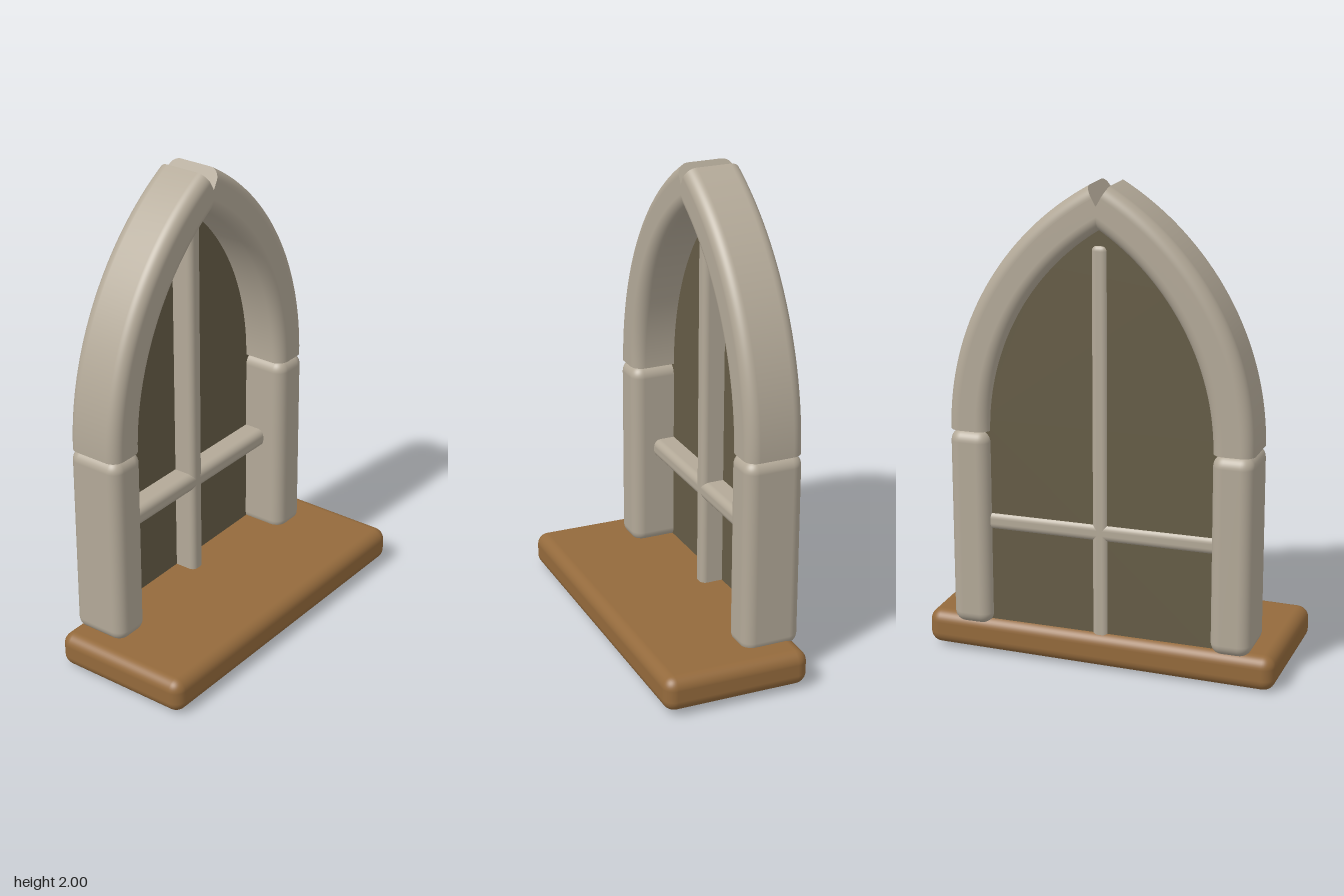
import * as THREE from 'three';
import { mergeGeometries } from 'three/addons/utils/BufferGeometryUtils.js';
import { RoundedBoxGeometry } from 'three/addons/geometries/RoundedBoxGeometry.js';

const stone = new THREE.MeshStandardMaterial({ color: 0xb3a998 });
const wood = new THREE.MeshStandardMaterial({ color: 0x946a3c });
const glass = new THREE.MeshStandardMaterial({ color: 0x655c46 });

const SPRING = 0.975;           // height where the arch starts
const HALF = 0.6375;            // outer half width of the frame
const OUTER = 1.18;             // outer radius of each arch half
const WIDTH = 0.17, DEPTH = 0.245;
const OFFSET = HALF - OUTER;    // arc centre of the right arch half
const SWEEP = Math.acos((0.0425 - OFFSET) / OUTER);

function add(parent, name, geometry, material, x = 0, y = 0, z = 0) {
  const mesh = new THREE.Mesh(geometry, material);
  mesh.name = name;
  mesh.position.set(x, y, z);
  parent.add(mesh);
  return mesh;
}

// Rounded rectangle cross-section, counter-clockwise, centred on (cx, 0)
function sectionShape(cx, w, h, r) {
  const x = w / 2 - r, y = h / 2 - r, q = Math.PI / 2;
  const s = new THREE.Shape();
  s.absarc(cx + x, -y, r, -q, 0);
  s.absarc(cx + x, y, r, 0, q);
  s.absarc(cx - x, y, r, q, 2 * q);
  s.absarc(cx - x, -y, r, 2 * q, 3 * q);
  s.closePath();
  return s;
}

// Right half of the pointed arch: section swept round its arc, with flat ends
function archGeometry() {
  const section = sectionShape(OUTER - WIDTH / 2, WIDTH, DEPTH, 0.05);
  const sweep = new THREE.LatheGeometry(section.getPoints(8), 32, 0, SWEEP);
  sweep.applyMatrix4(new THREE.Matrix4().makeBasis(
    new THREE.Vector3(0, 1, 0), new THREE.Vector3(0, 0, 1), new THREE.Vector3(1, 0, 0)));
  const foot = new THREE.ShapeGeometry(section, 8).rotateX(Math.PI / 2);
  const tip = new THREE.ShapeGeometry(section, 8).rotateX(-Math.PI / 2).rotateZ(SWEEP);
  return mergeGeometries([sweep, foot, tip]).translate(OFFSET, SPRING, 0);
}

// Pointed pane whose edge is buried in the stone
function paneGeometry() {
  const r = 1.05, half = r + OFFSET, a = Math.acos(-OFFSET / r);
  const s = new THREE.Shape();
  s.moveTo(-half, 0.1);
  s.lineTo(half, 0.1);
  s.absarc(OFFSET, SPRING, r, 0, a);
  s.absarc(-OFFSET, SPRING, r, Math.PI - a, Math.PI);
  s.closePath();
  return new THREE.ExtrudeGeometry(s, { depth: 0.02, bevelEnabled: false, curveSegments: 24 });
}

export function createModel() {
  const model = new THREE.Group();
  model.name = 'archedWindow';

  // Wooden sill, slightly crooked
  const sill = add(model, 'sill', new RoundedBoxGeometry(1.495, 0.148, 0.625, 5, 0.05), wood, 0, 0.087, 0);
  sill.rotation.set(-0.008, -0.011, 0.011);

  // Stone frame
  const frame = new THREE.Group();
  frame.name = 'frame';
  frame.position.set(-0.0075, 0, -0.198);
  model.add(frame);
  const arch = archGeometry();
  const post = new RoundedBoxGeometry(WIDTH, 0.84, 0.25, 5, 0.05);
  for (const side of [-1, 1]) {
    const name = side > 0 ? 'left' : 'right';
    add(frame, name + 'Post', post, stone, side * (HALF - WIDTH / 2), 0.555, 0);
    add(frame, name + 'Arch', arch, stone).rotation.y = side > 0 ? 0 : Math.PI;
  }

  // Pane near the back, with a cross of bars through it
  add(frame, 'pane', paneGeometry(), glass, 0, 0, -0.082);
  add(frame, 'uprightBar', new RoundedBoxGeometry(0.07, 1.67, 0.125, 4, 0.025), stone, 0, 0.935, -0.03);
  add(frame, 'crossBar', new RoundedBoxGeometry(1.0, 0.08, 0.125, 4, 0.03), stone, 0, 0.59, -0.03);

  return model;
}
